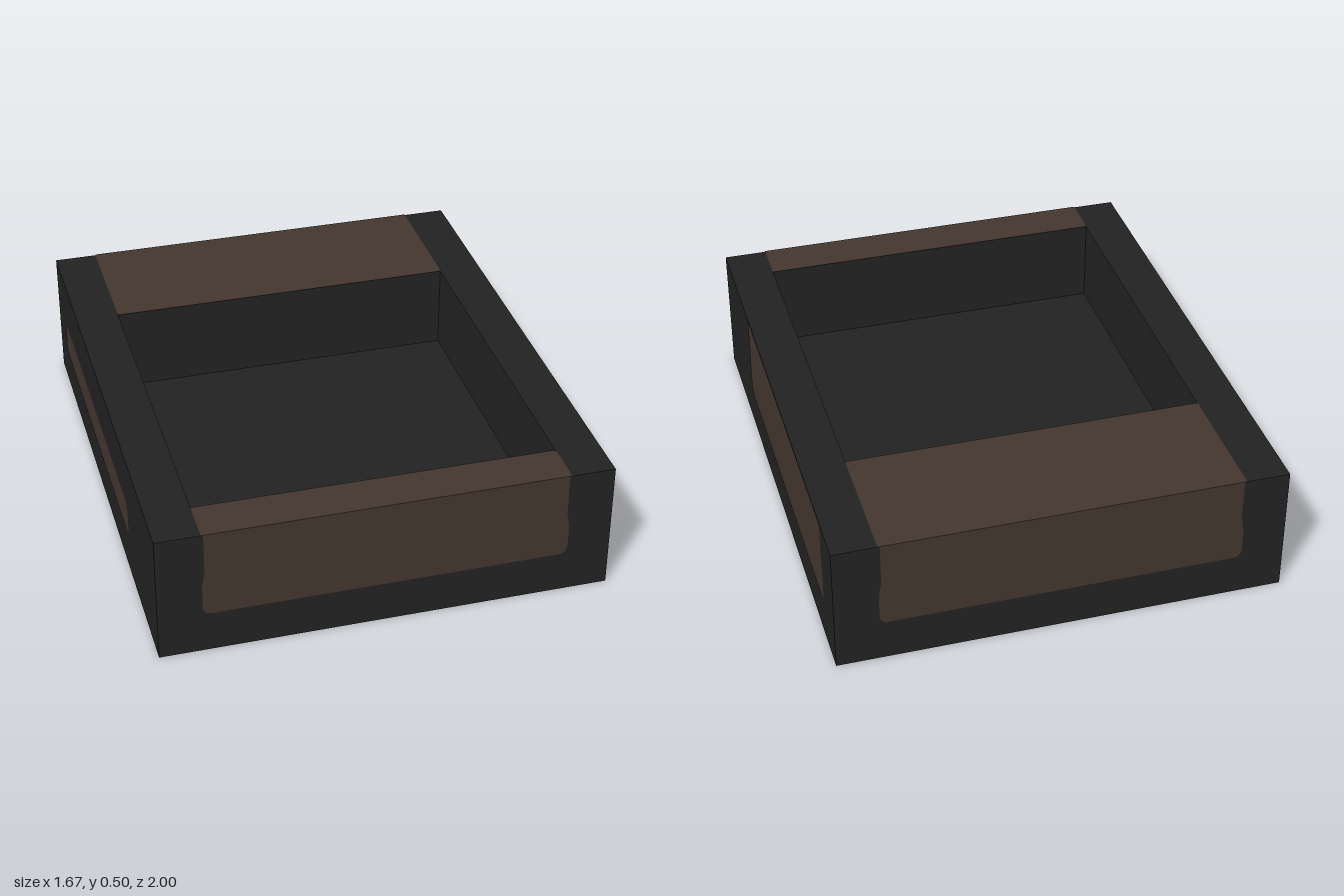
import * as THREE from 'three';

const W = 0.8333, D = 1, H = 0.5, LIFT = 0.002;

// Flat panel with rounded lower corners; optional rounded upper corners or slightly narrowed upper half
function panelGeometry(x0, x1, y0, y1, { r = 0.035, roundTop = false, neck = 0 } = {}) {
  const s = new THREE.Shape();
  s.moveTo(x0 + r, y0);
  s.lineTo(x1 - r, y0);
  s.quadraticCurveTo(x1, y0, x1, y0 + r);
  if (roundTop) {
    s.lineTo(x1, y1 - r);
    s.quadraticCurveTo(x1, y1, x1 - r, y1);
    s.lineTo(x0 + r, y1);
    s.quadraticCurveTo(x0, y1, x0, y1 - r);
  } else {
    if (neck) {
      s.lineTo(x1, 0.28);
      s.lineTo(x1 - neck, 0.34);
    }
    s.lineTo(x1 - neck, y1);
    s.lineTo(x0 + neck, y1);
    if (neck) {
      s.lineTo(x0 + neck, 0.34);
      s.lineTo(x0, 0.28);
    }
  }
  s.lineTo(x0, y0 + r);
  s.quadraticCurveTo(x0, y0, x0 + r, y0);
  return new THREE.ShapeGeometry(s, 6);
}

export function createModel() {
  const model = new THREE.Group();
  const charcoal = new THREE.MeshStandardMaterial({ name: 'charcoal', color: 0x222222 });
  const brown = new THREE.MeshStandardMaterial({ name: 'dark brown', color: 0x44362e });

  const add = (name, geometry, material) => {
    const mesh = new THREE.Mesh(geometry, material);
    mesh.name = name;
    model.add(mesh);
    return mesh;
  };

  // Tray walls: rectangular frame, thicker at the back
  const w = W - LIFT, d = D - LIFT, floorY = 0.1667;
  const rim = new THREE.Shape([[-w, -d], [w, -d], [w, d], [-w, d]].map(p => new THREE.Vector2(...p)));
  // Shape y becomes -z once laid flat
  rim.holes.push(new THREE.Path(
    [[-0.667, -0.833], [-0.667, 0.5], [0.667, 0.5], [0.667, -0.833]].map(p => new THREE.Vector2(...p))));
  const walls = new THREE.ExtrudeGeometry(rim, { depth: H - LIFT, bevelEnabled: false });
  add('walls', walls.rotateX(-Math.PI / 2), charcoal);

  // Floor closing the cavity
  const floor = new THREE.BoxGeometry(1.334, floorY, 1.333);
  add('floor', floor.translate(0, floorY / 2, 0.1665), charcoal);

  // Front and back panels
  const endPanel = () => panelGeometry(-0.67, 0.67, 0.16, H, { neck: 0.01 });
  add('frontPanel', endPanel().translate(0, 0, D), brown);
  add('backPanel', endPanel().translate(0, 0, D).rotateY(Math.PI), brown);

  // Left side: tall panel; right side: slim rounded band
  add('leftPanel', panelGeometry(-0.51, 0.84, 0.16, H, { neck: 0.01 })
    .translate(0, 0, W).rotateY(Math.PI / 2), brown);
  add('rightBand', panelGeometry(-0.83, 0.5, 0.163, 0.31, { roundTop: true })
    .translate(0, 0, W).rotateY(-Math.PI / 2), brown);

  // Top panels on the back ledge and the front rim
  const top = { r: 0.015 };
  add('backTopPanel', panelGeometry(-0.668, 0.668, 0.5, D, top)
    .rotateX(-Math.PI / 2).translate(0, H, 0), brown);
  add('frontTopPanel', panelGeometry(-0.668, 0.668, 0.833, D, top)
    .rotateX(-Math.PI / 2).rotateY(Math.PI).translate(0, H, 0), brown);

  return model;
}
